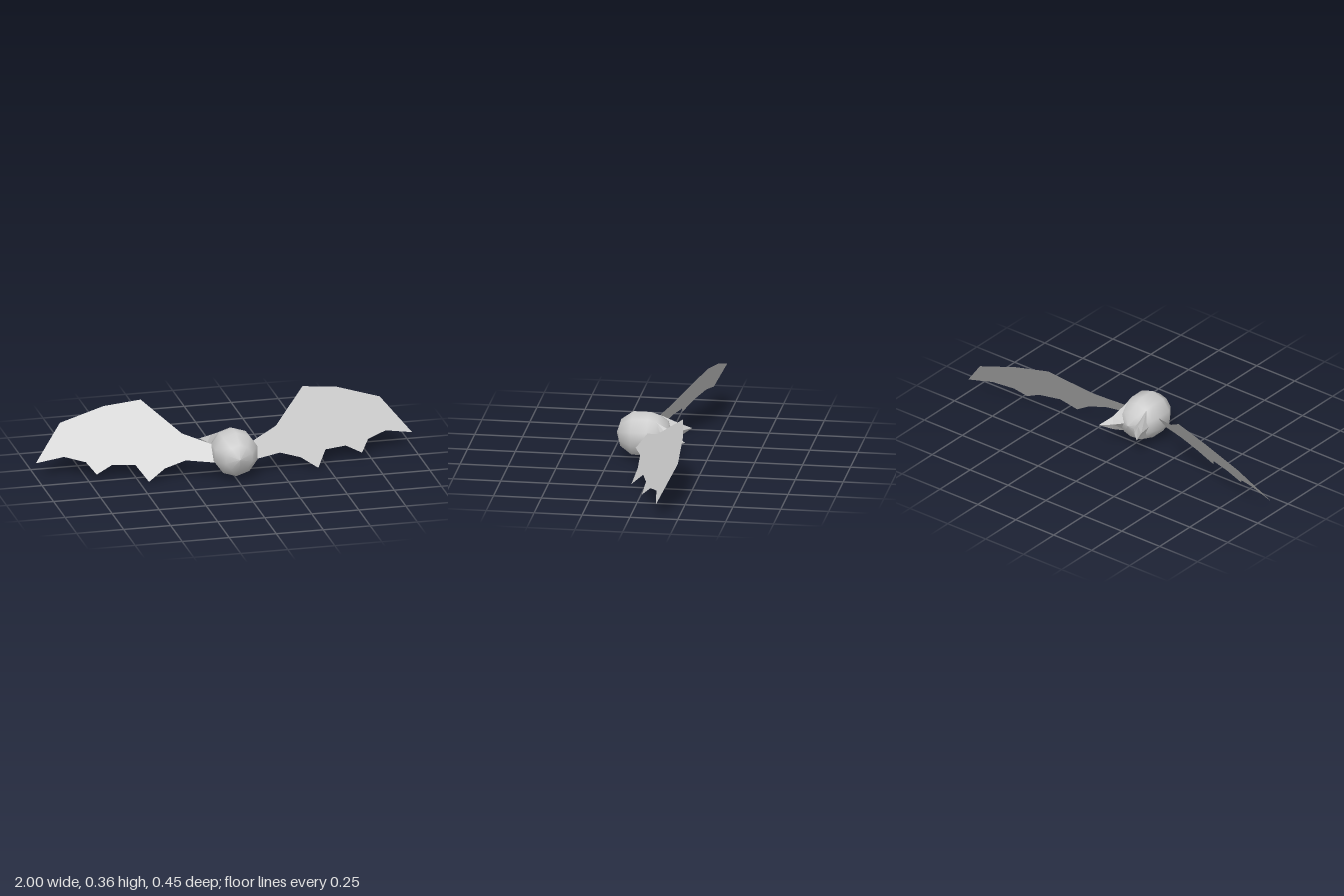
import * as THREE from 'three';

export function createModel() {
  const model = new THREE.Group();
  const smooth = new THREE.MeshStandardMaterial({ color: 0xcccccc });
  const flat = new THREE.MeshStandardMaterial({ color: 0xcccccc, flatShading: true, side: THREE.DoubleSide });

  // Round body: ten-sided lathe lying along z
  const profile = [[0, -0.07], [0.073, -0.045], [0.104, 0.002], [0.118, 0.05], [0.118, 0.133], [0.073, 0.196], [0, 0.22]];
  const bodyGeo = new THREE.LatheGeometry(profile.map(([r, z]) => new THREE.Vector2(r, z)), 10);
  bodyGeo.rotateX(Math.PI / 2);
  const body = new THREE.Mesh(bodyGeo, smooth);
  body.name = 'body';
  body.position.y = 0.134;
  model.add(body);

  // Wing: scalloped outline in x and y, laid on a slanted plane
  const outline = [
    [0.06, 0.155], [0.11, 0.17], [0.25, 0.215], [0.43, 0.36], [0.62, 0.33], [0.85, 0.255], [1, 0.078],
    [0.855, 0.107], [0.75, 0.085], [0.705, 0.032], [0.62, 0.075], [0.505, 0.075], [0.45, 0.003],
    [0.36, 0.062], [0.25, 0.098], [0.112, 0.09], [0.06, 0.09],
  ];
  const wingGeo = new THREE.ShapeGeometry(new THREE.Shape(outline.map(([x, y]) => new THREE.Vector2(x, y))));
  const p = wingGeo.attributes.position;
  for (let i = 0; i < p.count; i++) p.setZ(i, 0.204 - 0.28 * p.getX(i) - 0.76 * p.getY(i));
  wingGeo.computeVertexNormals();

  // Ear: tall diamond sections swept back and outward to a point
  // Each section: centre x, z, half height, inner x, z, outer x, z
  const sections = [
    [0.064, 0.004, 0.084, 0.034, -0.06, 0.09, -0.005],
    [0.083, -0.09, 0.038, 0.07, -0.105, 0.1, -0.085],
    [0.125, -0.155, 0, 0.125, -0.155, 0.125, -0.155],
  ];
  const earPoints = [];
  for (const [x, z, h, ix, iz, ox, oz] of sections) {
    earPoints.push(x, 0.134 + h, z, ix, 0.134, iz, x, 0.134 - h, z, ox, 0.134, oz);
  }
  const earIndex = [];
  for (let s = 0; s < sections.length - 1; s++) {
    for (let i = 0; i < 4; i++) {
      const a = s * 4 + i, b = s * 4 + ((i + 1) % 4);
      earIndex.push(a, a + 4, b);
      if (s < sections.length - 2) earIndex.push(b, a + 4, b + 4);
    }
  }
  const earGeo = new THREE.BufferGeometry();
  earGeo.setAttribute('position', new THREE.Float32BufferAttribute(earPoints, 3));
  earGeo.setIndex(earIndex);
  earGeo.computeVertexNormals();

  // Mirrored pairs
  for (const [side, label] of [[1, 'left'], [-1, 'right']]) {
    for (const [geo, part] of [[wingGeo, 'Wing'], [earGeo, 'Ear']]) {
      const mesh = new THREE.Mesh(geo, flat);
      mesh.name = label + part;
      mesh.scale.x = side;
      model.add(mesh);
    }
  }
  return model;
}
